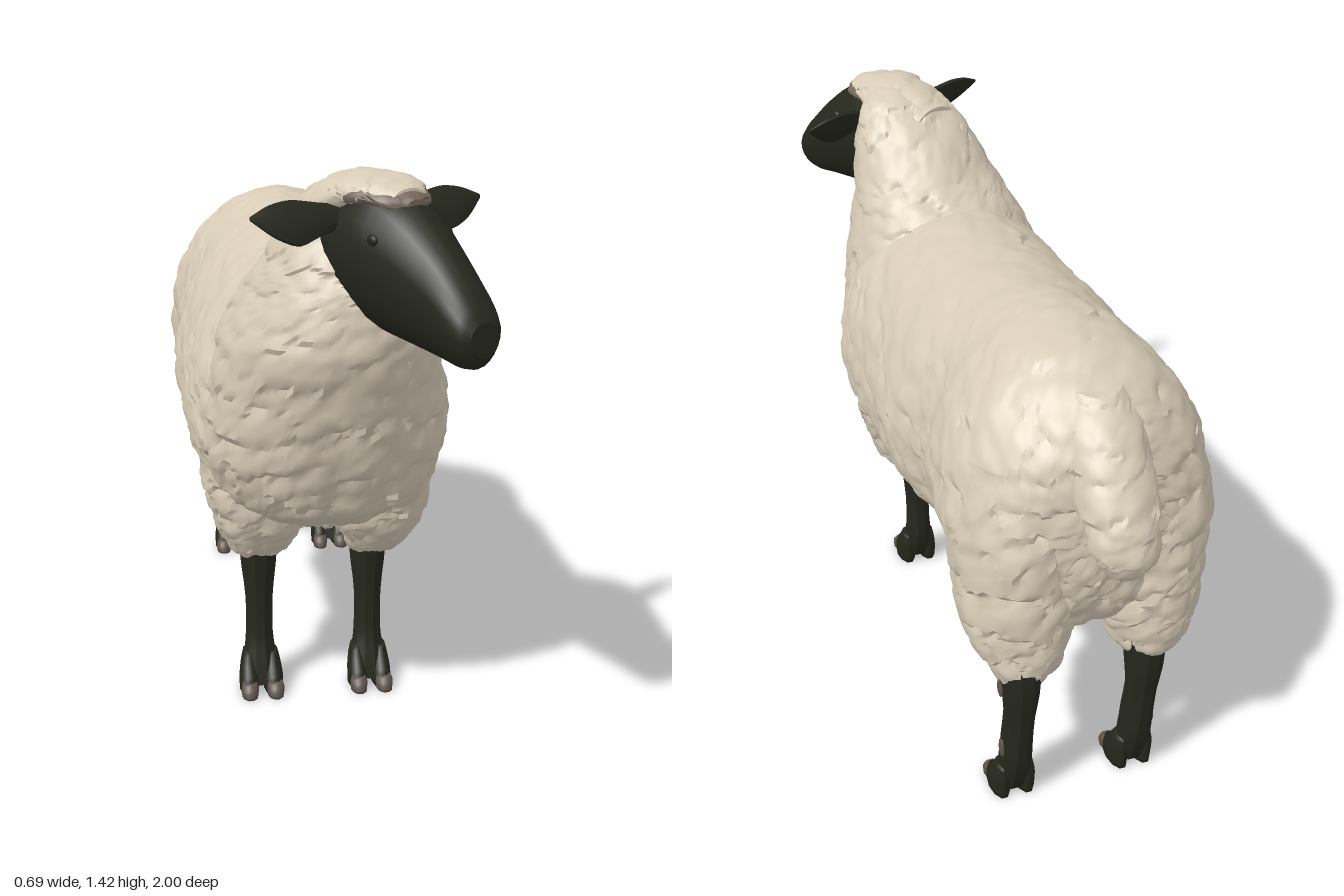
import * as THREE from 'three';
import { mergeVertices, toCreasedNormals } from 'three/addons/utils/BufferGeometryUtils.js';

const mat = (name, color) => Object.assign(new THREE.MeshStandardMaterial({ color }), { name });

// Loft of ellipses. Each section is [t, low, high, centreX, halfWidth]:
// axis 'y': t is height and low/high is the z range; axis 'z': t is depth and low/high is the y range.
// flare widens the upper half of each ellipse and narrows the lower half (negative: the reverse).
function loft(axis, sections, rings, segs, flare = 0) {
  const range = new THREE.CatmullRomCurve3(sections.map(s => new THREE.Vector3(s[0], s[1], s[2])), false, 'catmullrom', 0.4);
  const width = new THREE.CatmullRomCurve3(sections.map(s => new THREE.Vector3(s[3], s[4], 0)), false, 'catmullrom', 0.4);
  const pos = [], idx = [];
  for (let i = -1; i <= rings + 1; i++) {
    const u = Math.min(1, Math.max(0, i / rings));
    const r = range.getPoint(u), w = width.getPoint(u);
    const k = i < 0 || i > rings ? 0 : 1; // closed ends
    for (let j = 0; j < segs; j++) {
      const a = (j / segs) * Math.PI * 2;
      const x = w.x + k * w.y * Math.cos(a) * (1 + flare * Math.sin(a));
      const mid = (r.y + r.z) / 2, h = k * Math.sin(a) * (r.z - r.y) / 2;
      if (axis === 'y') pos.push(x, r.x, mid - h);
      else pos.push(x, mid + h, r.x);
    }
  }
  for (let i = 0; i < rings + 2; i++) for (let j = 0; j < segs; j++) {
    const n = (j + 1) % segs, a = i * segs, b = a + segs;
    idx.push(a + j, a + n, b + n, a + j, b + n, b + j);
  }
  const g = new THREE.BufferGeometry();
  g.setAttribute('position', new THREE.Float32BufferAttribute(pos, 3));
  g.setIndex(idx);
  const merged = mergeVertices(g, 1e-5);
  merged.computeVertexNormals();
  return merged;
}

const hash = (x, y, z, k) => {
  const s = Math.sin(x * 127.1 + y * 311.7 + z * 74.7 + k * 53.3) * 43758.5453;
  return s - Math.floor(s);
};

// Shingled wool lock height: each random cell stands out towards its lower edge
function lockHeight(p, size) {
  const x = p.x / size, y = p.y / size, z = p.z / size;
  let best = 9, lift = 0;
  for (let i = -1; i <= 1; i++) for (let j = -1; j <= 1; j++) for (let k = -1; k <= 1; k++) {
    const cx = Math.floor(x) + i, cy = Math.floor(y) + j, cz = Math.floor(z) + k;
    const dx = x - cx - hash(cx, cy, cz, 1), dy = y - cy - hash(cx, cy, cz, 2), dz = z - cz - hash(cx, cy, cz, 3);
    const d = dx * dx + dy * dy + dz * dz;
    if (d < best) { best = d; lift = -dy * 0.8 + hash(cx, cy, cz, 4) * 0.5; }
  }
  return lift + 0.3 - Math.sqrt(best);
}

// Pushes the surface out into ragged locks, softer along the back
function wool(geometry) {
  const p = geometry.attributes.position, n = geometry.attributes.normal;
  const v = new THREE.Vector3(), m = new THREE.Vector3();
  for (let i = 0; i < p.count; i++) {
    v.fromBufferAttribute(p, i);
    m.fromBufferAttribute(n, i);
    const amp = 0.013 - 0.006 * THREE.MathUtils.smoothstep(v.y, 0.7, 1.1);
    v.addScaledVector(m, amp * (lockHeight(v, 0.075) + 0.4 * lockHeight(v, 0.035)));
    p.setXYZ(i, v.x, v.y, v.z);
  }
  return toCreasedNormals(geometry, 0.6);
}

export function createModel() {
  const fleece = mat('cream wool', 0xd8ccb7);
  const dark = mat('dark skin', 0x26281d);
  const hoofMat = mat('brown hoof', 0x5f544b);
  const fringeMat = mat('brown fringe', 0x75685c);

  const model = new THREE.Group();
  model.name = 'sheep';
  const add = (parent, name, geometry, material) => {
    const mesh = new THREE.Mesh(geometry, material);
    mesh.name = name;
    parent.add(mesh);
    return mesh;
  };
  const shiftX = (sections, x, dz = 0) => sections.map(s => [s[0], s[1] + dz, s[2] + dz, s[3] + x, s[4]]);

  // Barrel of the body, rump to chest, fuller below
  add(model, 'body', wool(loft('z', [
    [-0.865, 0.78, 0.98, 0, 0.06], [-0.84, 0.64, 1.06, 0, 0.18], [-0.78, 0.53, 1.125, 0, 0.27],
    [-0.65, 0.49, 1.195, 0, 0.322], [-0.5, 0.51, 1.21, 0, 0.31], [-0.38, 0.48, 1.2, 0, 0.297],
    [-0.2, 0.455, 1.175, 0, 0.335], [0, 0.45, 1.165, 0, 0.33], [0.2, 0.455, 1.155, 0, 0.335],
    [0.35, 0.475, 1.13, 0, 0.315], [0.48, 0.53, 1.06, 0, 0.24], [0.56, 0.62, 0.97, 0, 0.15],
    [0.59, 0.7, 0.9, 0, 0.05]], 120, 116, -0.08)), fleece);

  // Chest and upright neck, sloping into the back
  add(model, 'neck', wool(loft('y', [
    [0.5, 0.2, 0.43, 0, 0.15], [0.57, 0.1, 0.545, 0, 0.25], [0.7, 0.1, 0.615, 0, 0.295],
    [0.85, 0.09, 0.668, 0, 0.288], [1.0, 0.1, 0.718, 0, 0.262], [1.1, 0.17, 0.71, 0.01, 0.225],
    [1.155, 0.235, 0.7, 0.02, 0.205], [1.2, 0.3, 0.69, 0.03, 0.19], [1.3, 0.395, 0.655, 0.045, 0.155],
    [1.37, 0.475, 0.65, 0.06, 0.112], [1.4, 0.55, 0.63, 0.07, 0.05]], 84, 104)), fleece);

  // Tail, growing out of the rump
  add(model, 'tail', wool(loft('y', [
    [0.785, -0.96, -0.885, 0, 0.035], [0.83, -0.99, -0.86, 0, 0.072], [0.9, -0.978, -0.8, 0, 0.088],
    [1.0, -0.925, -0.7, 0, 0.095], [1.08, -0.865, -0.62, 0, 0.095], [1.14, -0.79, -0.56, 0, 0.07]], 40, 44)), fleece);

  const frontLeg = [
    [0.02, 0.25, 0.33, 0, 0.045], [0.08, 0.225, 0.315, 0, 0.044], [0.14, 0.22, 0.298, 0, 0.036],
    [0.25, 0.225, 0.295, 0, 0.036], [0.36, 0.195, 0.31, 0, 0.048], [0.5, 0.18, 0.32, 0, 0.055]];
  const hindLeg = [
    [0.02, -0.76, -0.67, 0, 0.045], [0.1, -0.79, -0.695, 0, 0.042], [0.2, -0.806, -0.705, 0, 0.038],
    [0.28, -0.815, -0.722, 0, 0.038], [0.36, -0.83, -0.715, 0, 0.046], [0.45, -0.832, -0.69, 0, 0.053],
    [0.55, -0.8, -0.66, 0, 0.06]];
  const shoulder = [
    [0.375, 0.22, 0.3, 0, 0.06], [0.41, 0.18, 0.345, 0, 0.085], [0.48, 0.14, 0.41, 0, 0.118],
    [0.6, 0.1, 0.45, 0, 0.148], [0.75, 0.12, 0.45, 0, 0.142], [0.9, 0.16, 0.4, 0, 0.1]];
  const thigh = [
    [0.39, -0.8, -0.68, 0, 0.06], [0.44, -0.832, -0.63, 0, 0.095], [0.53, -0.85, -0.53, 0, 0.13],
    [0.66, -0.857, -0.48, 0, 0.148], [0.82, -0.853, -0.48, 0, 0.15], [0.98, -0.8, -0.5, 0, 0.115]];
  const toe = [[0, 0.245, 0.355, 0, 0.025], [0.035, 0.242, 0.35, 0, 0.026], [0.07, 0.24, 0.318, 0, 0.021], [0.1, 0.245, 0.298, 0, 0.014]];
  const tip = [[0, 0.315, 0.375, 0, 0.021], [0.02, 0.315, 0.368, 0, 0.023], [0.036, 0.315, 0.352, 0, 0.018]];

  // Legs with woolly tops and cloven feet
  for (const [name, leg, top, x, woolX, dz] of [
    ['frontLeftLeg', frontLeg, shoulder, 0.135, 0.152, 0], ['frontRightLeg', frontLeg, shoulder, -0.155, -0.152, 0],
    ['hindLeftLeg', hindLeg, thigh, 0.18, 0.165, -1.01], ['hindRightLeg', hindLeg, thigh, -0.14, -0.16, -1.01]]) {
    const group = new THREE.Group();
    group.name = name;
    model.add(group);
    add(group, 'shank', toCreasedNormals(loft('y', shiftX(leg, x), 12, 10), 0.5), dark);
    add(group, 'upperLegWool', wool(loft('y', shiftX(top, woolX), 46, 60)), fleece);
    for (const side of [-1, 1]) {
      add(group, 'toe', loft('y', shiftX(toe, x + side * 0.032, dz), 9, 10), dark);
      add(group, 'hoofTip', loft('y', shiftX(tip, x + side * 0.034, dz), 6, 10), hoofMat);
    }
    // Bare brown patches on the outside of the hind legs
    if (leg === hindLeg) for (const [y, z, reach, height] of [[0.37, -0.762, 0.047, 0.027], [0.165, -0.753, 0.039, 0.028]]) {
      const patch = add(group, 'barePatch', new THREE.SphereGeometry(1, 10, 8), hoofMat);
      patch.scale.set(0.0048, height, 0.017);
      patch.position.set(x + Math.sign(x) * reach, y, z);
    }
  }

  // Head, turned towards its left
  const head = new THREE.Group();
  head.name = 'head';
  head.position.set(0.075, 0, 0.65);
  head.rotation.y = 0.44;
  model.add(head);
  add(head, 'face', toCreasedNormals(loft('z', [
    [-0.14, 1.13, 1.36, 0, 0.09], [-0.04, 1.09, 1.385, 0, 0.113], [0.06, 1.065, 1.386, 0, 0.111],
    [0.15, 1.055, 1.352, 0, 0.094], [0.25, 1.045, 1.28, 0, 0.074], [0.32, 1.037, 1.217, 0, 0.066],
    [0.36, 1.045, 1.172, 0, 0.055], [0.378, 1.07, 1.145, 0, 0.036]], 24, 20, 0.18), 0.45), dark);
  add(head, 'foreheadFringe', wool(loft('z', [
    [-0.04, 1.325, 1.398, 0, 0.11], [0.06, 1.335, 1.395, 0, 0.094], [0.115, 1.335, 1.376, 0, 0.06],
    [0.14, 1.34, 1.365, 0, 0.025]], 16, 36)), fringeMat);
  add(head, 'woolCap', wool(loft('z', [
    [-0.2, 1.2, 1.365, 0, 0.09], [-0.12, 1.2, 1.398, 0, 0.118], [-0.02, 1.31, 1.411, 0, 0.11],
    [0.07, 1.335, 1.404, 0, 0.083], [0.115, 1.345, 1.386, 0, 0.042]], 34, 48)), fleece);

  // Leaf-shaped ears, leaning back
  for (const side of [-1, 1]) {
    const ear = add(head, side > 0 ? 'leftEar' : 'rightEar', toCreasedNormals(loft('z', [
      [0, -0.026, 0.028, 0, 0.02], [0.06, -0.038, 0.038, 0, 0.018], [0.125, -0.058, 0.05, 0, 0.016],
      [0.18, -0.034, 0.042, 0, 0.011], [0.23, 0.01, 0.02, 0, 0.003]], 12, 10), 0.5), dark);
    ear.position.set(side * 0.08, 1.315, -0.02);
    ear.rotation.set(0, side * Math.PI / 2, -side * 0.5);
  }

  // Dark eyes on the sides of the face
  for (const side of [-1, 1]) {
    const eye = add(head, 'eye', new THREE.SphereGeometry(0.014, 14, 10), dark);
    eye.position.set(side * 0.1, 1.285, 0.12);
    eye.scale.set(0.6, 0.9, 1.2);
  }
  return model;
}
